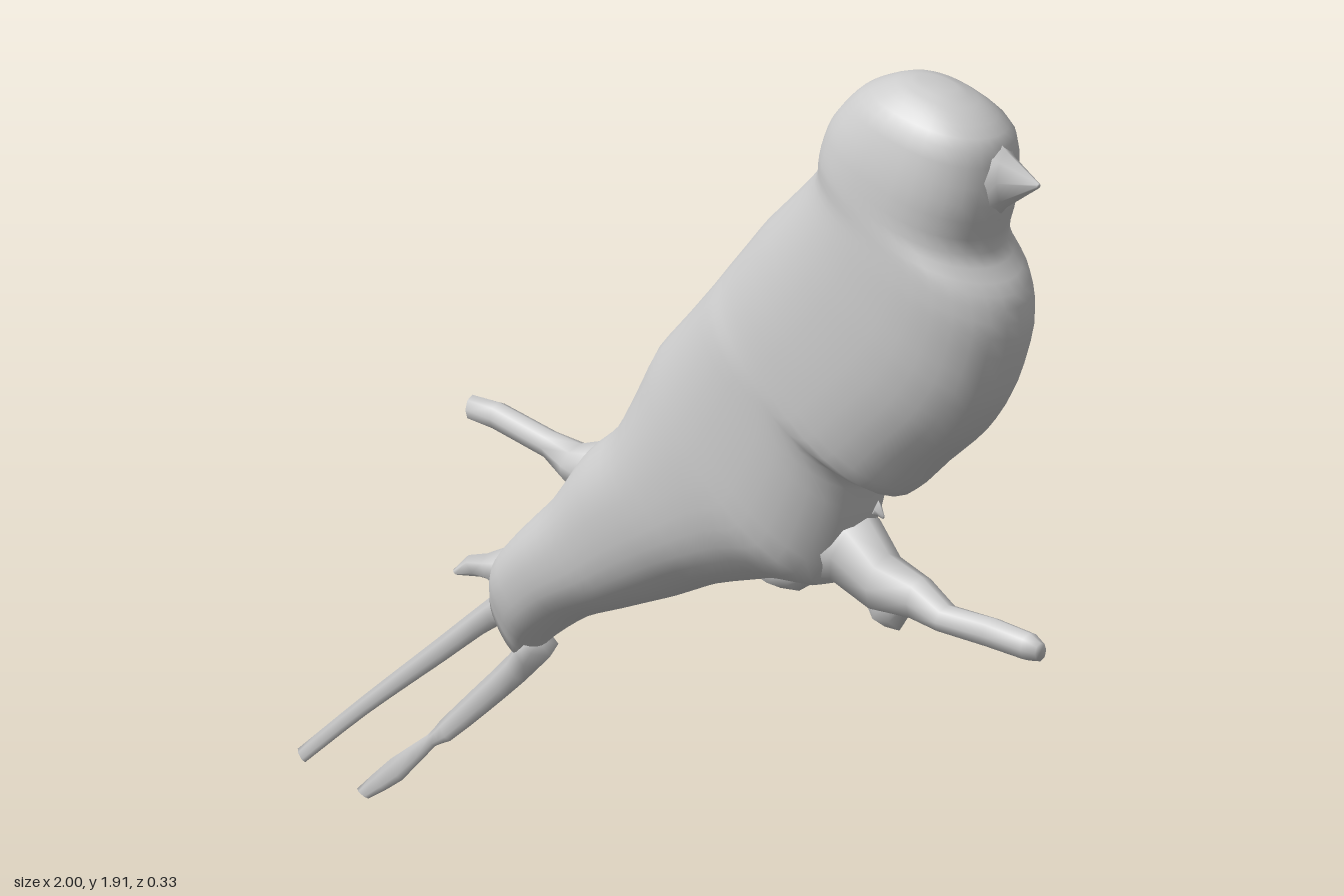
import * as THREE from 'three';

// Loft through sections [topX, topY, bottomX, bottomY, halfDepth], ordered towards +x.
function loft(sections, sides, steps, power) {
  const top = new THREE.CatmullRomCurve3(sections.map(s => new THREE.Vector3(s[0], s[1], s[4])), false, 'catmullrom', 0.4);
  const bottom = new THREE.CatmullRomCurve3(sections.map(s => new THREE.Vector3(s[2], s[3], 0)), false, 'catmullrom', 0.4);
  const rings = (sections.length - 1) * steps;
  const pos = [], index = [];
  for (let i = 0; i <= rings; i++) {
    const a = top.getPoint(i / rings), b = bottom.getPoint(i / rings);
    for (let j = 0; j < sides; j++) {
      const ang = j / sides * Math.PI * 2, t = Math.cos(ang), k = (1 - t) / 2;
      const z = a.z * Math.sign(Math.sin(ang)) * Math.sqrt(Math.max(0, 1 - Math.abs(t) ** power));
      pos.push(a.x + (b.x - a.x) * k, a.y + (b.y - a.y) * k, z);
    }
  }
  for (const s of [sections[0], sections[sections.length - 1]]) {
    pos.push((s[0] + s[2]) / 2, (s[1] + s[3]) / 2, 0);
  }
  const c0 = (rings + 1) * sides, c1 = c0 + 1;
  for (let j = 0; j < sides; j++) {
    const n = (j + 1) % sides;
    for (let i = 0; i < rings; i++) {
      const p = i * sides, q = p + sides;
      index.push(p + j, p + n, q + j, p + n, q + n, q + j);
    }
    index.push(c0, n, j, c1, rings * sides + j, rings * sides + n);
  }
  const g = new THREE.BufferGeometry();
  g.setAttribute('position', new THREE.Float32BufferAttribute(pos, 3));
  g.setIndex(index);
  g.computeVertexNormals();
  return g;
}

export function createModel() {
  const group = new THREE.Group();
  const grey = new THREE.MeshStandardMaterial({ color: 0xcccccc });
  grey.name = 'plain grey';
  const add = (name, sections, sides = 6, steps = 1, power = 2) => {
    const mesh = new THREE.Mesh(loft(sections, sides, steps, power), grey);
    mesh.name = name;
    group.add(mesh);
  };

  // Body and head: back point, belly point, half depth
  add('body', [
    [-0.47, 0.53, -0.38, 0.40, 0.04],
    [-0.44, 0.62, -0.32, 0.46, 0.09],
    [-0.36, 0.71, -0.22, 0.53, 0.115],
    [-0.27, 0.80, -0.10, 0.58, 0.13],
    [-0.19, 0.91, 0.02, 0.63, 0.14],
    [-0.10, 0.99, 0.15, 0.69, 0.15],
    [-0.04, 1.10, 0.32, 0.74, 0.155],
    [0.00, 1.18, 0.46, 0.76, 0.16],
    [0.08, 1.27, 0.53, 0.90, 0.162],
    [0.15, 1.35, 0.56, 1.01, 0.163],
    [0.19, 1.40, 0.64, 0.99, 0.164],
    [0.24, 1.46, 0.73, 1.07, 0.165],
    [0.29, 1.52, 0.83, 1.16, 0.165],
    [0.35, 1.58, 0.90, 1.26, 0.165],
    [0.41, 1.64, 0.945, 1.40, 0.163],
    [0.44, 1.68, 0.93, 1.49, 0.16],
    [0.45, 1.73, 0.87, 1.57, 0.157],
    [0.48, 1.80, 0.90, 1.68, 0.15],
    [0.55, 1.87, 0.90, 1.80, 0.125],
    [0.63, 1.905, 0.84, 1.86, 0.075],
    [0.68, 1.91, 0.77, 1.895, 0.03],
  ], 32, 3, 2.5);

  // Beak
  add('beak', [
    [0.84, 1.85, 0.86, 1.62, 0.09],
    [0.91, 1.795, 0.91, 1.675, 0.035],
    [0.995, 1.745, 0.995, 1.735, 0.006],
  ], 8);

  // Perch on both sides of the body
  add('frontBranch', [
    [0.38, 0.95, 0.36, 0.75, 0.09],
    [0.53, 0.92, 0.47, 0.76, 0.075],
    [0.59, 0.85, 0.57, 0.72, 0.06],
    [0.68, 0.82, 0.67, 0.725, 0.045],
    [0.75, 0.775, 0.74, 0.715, 0.035],
    [0.87, 0.775, 0.87, 0.71, 0.032],
    [0.97, 0.765, 0.97, 0.705, 0.03],
    [1.00, 0.75, 1.00, 0.71, 0.018],
  ], 8);
  add('backBranch', [
    [-0.53, 0.94, -0.53, 0.885, 0.022],
    [-0.46, 0.94, -0.46, 0.88, 0.028],
    [-0.32, 0.91, -0.32, 0.85, 0.03],
    [-0.24, 0.90, -0.27, 0.82, 0.045],
    [-0.12, 0.94, -0.16, 0.76, 0.08],
  ], 8);

  // Toes gripping the perch
  add('rearToe', [
    [0.25, 0.78, 0.25, 0.72, 0.03],
    [0.30, 0.80, 0.30, 0.71, 0.05],
    [0.35, 0.80, 0.35, 0.715, 0.045],
    [0.41, 0.80, 0.41, 0.755, 0.03],
  ]);
  add('frontToe', [
    [0.54, 0.80, 0.54, 0.74, 0.025],
    [0.58, 0.80, 0.58, 0.69, 0.045],
    [0.62, 0.80, 0.62, 0.69, 0.04],
    [0.65, 0.79, 0.65, 0.735, 0.02],
  ]);
  add('looseClaw', [
    [0.55, 0.935, 0.55, 0.925, 0.004],
    [0.563, 0.96, 0.563, 0.925, 0.012],
    [0.577, 0.93, 0.577, 0.922, 0.004],
  ], 4);

  // Tail tuft and the two long streamers
  add('tailTuft', [
    [-0.58, 0.55, -0.57, 0.54, 0.006],
    [-0.54, 0.59, -0.51, 0.55, 0.02],
    [-0.49, 0.605, -0.47, 0.55, 0.03],
    [-0.42, 0.64, -0.40, 0.53, 0.06],
  ]);
  add('upperStreamer', [
    [-1.00, 0.065, -0.98, 0.04, 0.006],
    [-0.83, 0.215, -0.81, 0.185, 0.009],
    [-0.63, 0.385, -0.605, 0.345, 0.014],
    [-0.49, 0.505, -0.46, 0.455, 0.022],
    [-0.42, 0.56, -0.38, 0.46, 0.04],
  ], 6, 3);
  add('lowerStreamer', [
    [-0.84, 0.015, -0.81, 0.00, 0.006],
    [-0.75, 0.10, -0.72, 0.06, 0.01],
    [-0.65, 0.175, -0.63, 0.155, 0.008],
    [-0.615, 0.215, -0.59, 0.175, 0.012],
    [-0.52, 0.31, -0.49, 0.26, 0.017],
    [-0.43, 0.40, -0.39, 0.35, 0.025],
    [-0.38, 0.47, -0.32, 0.42, 0.05],
  ], 6, 2);

  return group;
}
